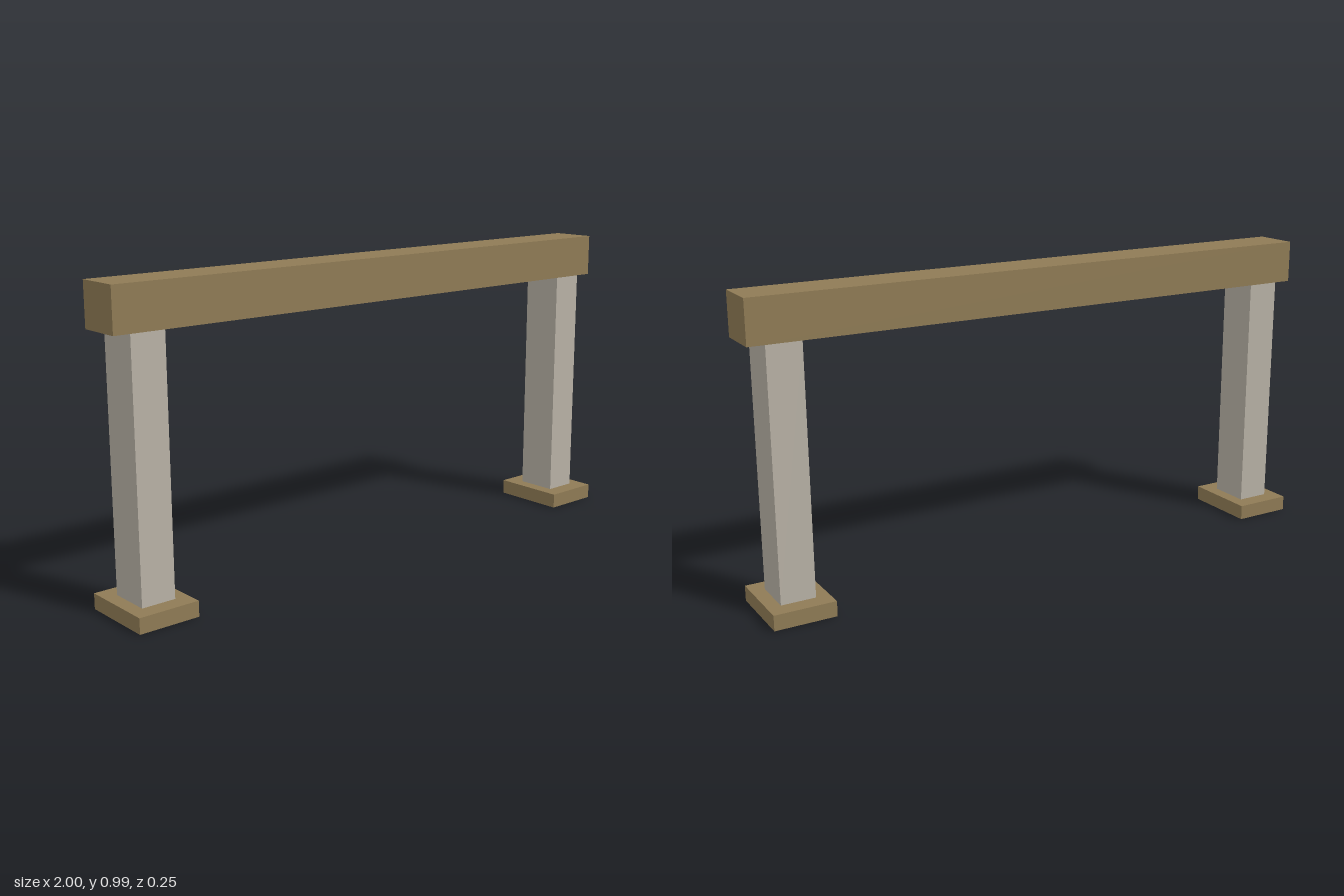
import * as THREE from 'three';

export function createModel() {
  const group = new THREE.Group();

  const wood = new THREE.MeshStandardMaterial({ color: 0x8f7b55 });
  wood.name = 'brown wood';
  const stone = new THREE.MeshStandardMaterial({ color: 0xb8b1a5 });
  stone.name = 'pale grey';

  // Box standing between two heights
  function addBox(name, material, x, bottom, top, width, depth) {
    const mesh = new THREE.Mesh(new THREE.BoxGeometry(width, top - bottom, depth), material);
    mesh.name = name;
    mesh.position.set(x, (bottom + top) / 2, 0);
    group.add(mesh);
  }

  // Crossbeam along the top
  addBox('beam', wood, 0, 0.85, 0.99, 2, 0.15);

  // A post on a foot plate at each end
  for (const [side, sign] of [['left', 1], ['right', -1]]) {
    addBox(side + 'Post', stone, sign * 0.888, 0.05, 0.85, 0.112, 0.14);
    addBox(side + 'Foot', wood, sign * 0.888, 0, 0.05, 0.2, 0.254);
  }

  return group;
}
